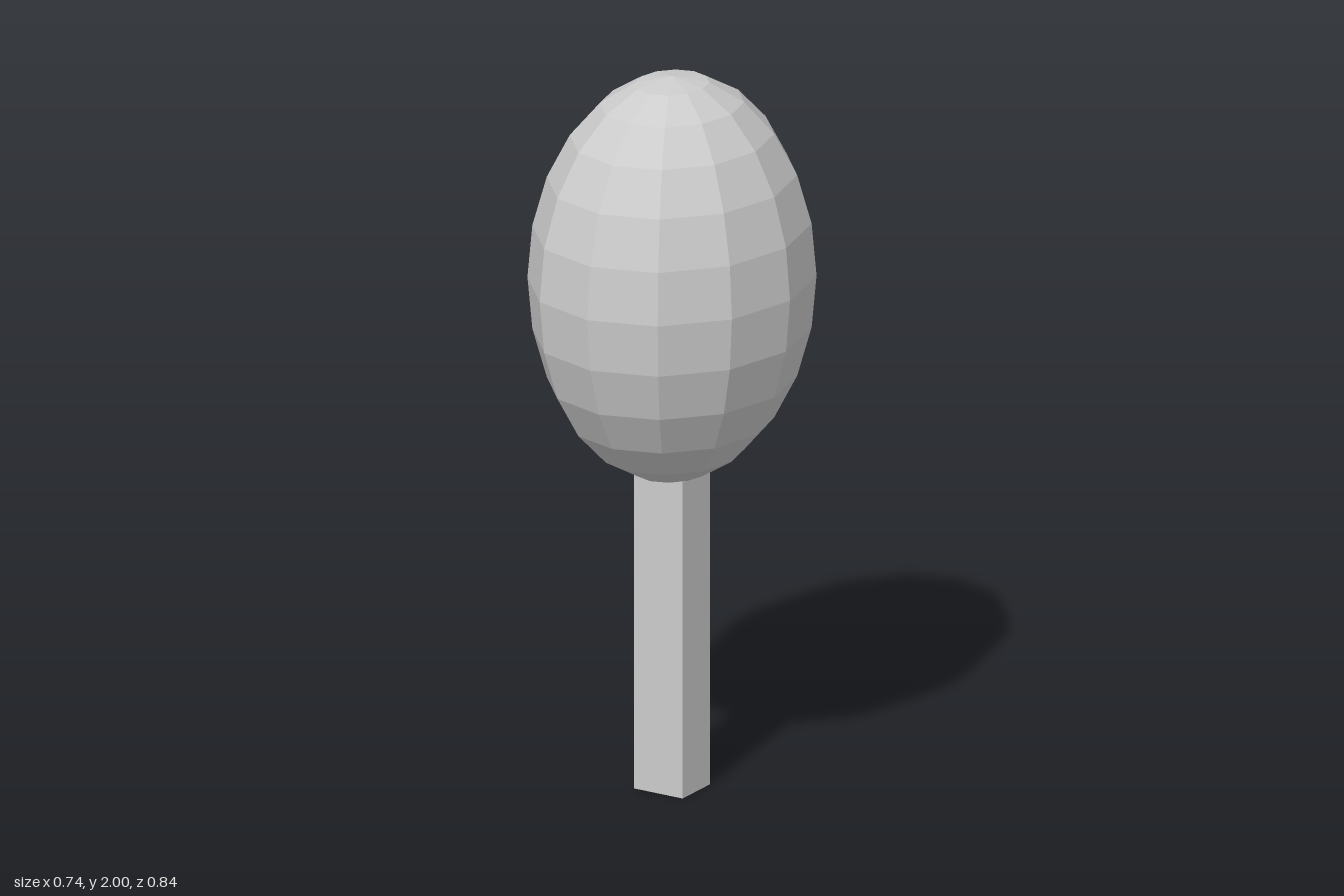
import * as THREE from 'three';

export function createModel() {
  const group = new THREE.Group();
  const material = new THREE.MeshStandardMaterial({ color: 0xcccccc, flatShading: true });
  const openMaterial = material.clone();
  openMaterial.side = THREE.DoubleSide;

  // Faceted egg-shaped crown, slightly deeper than wide
  const crownGeometry = new THREE.SphereGeometry(1, 12, 12);
  crownGeometry.scale(0.371, 0.564, 0.421);
  const crown = new THREE.Mesh(crownGeometry, material);
  crown.name = 'crown';
  crown.position.y = 1.436;
  group.add(crown);

  // Square trunk: a four-sided tube, open at the ends
  const trunkHeight = 0.89;
  const trunkGeometry = new THREE.CylinderGeometry(Math.SQRT1_2, Math.SQRT1_2, trunkHeight, 4, 1, true);
  trunkGeometry.rotateY(Math.PI / 4);
  trunkGeometry.scale(0.153, 1, 0.136);
  const trunk = new THREE.Mesh(trunkGeometry, openMaterial);
  trunk.name = 'trunk';
  trunk.position.y = trunkHeight / 2;
  group.add(trunk);

  return group;
}
